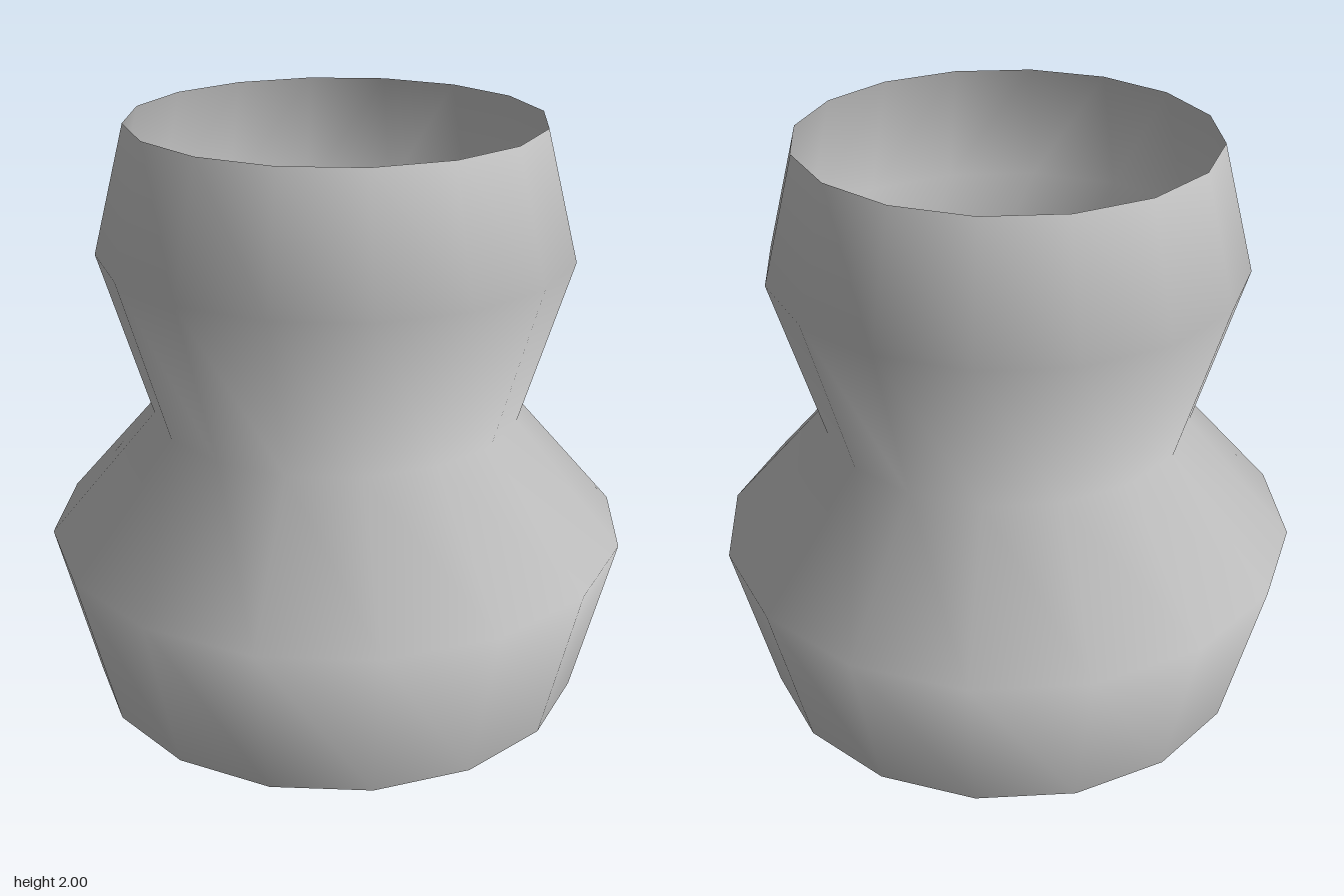
import * as THREE from 'three';

export function createModel() {
  const group = new THREE.Group();
  group.name = 'vase';

  const grey = new THREE.MeshStandardMaterial({ color: 0xcccccc, side: THREE.DoubleSide });
  grey.name = 'light grey';

  // Open tube: [radius, height] from the foot, over the belly and waist, to the rim
  const profile = [[0.86, 0], [1, 0.57], [0.63, 1], [0.8, 1.57], [0.69, 2]]
    .map(([r, y]) => new THREE.Vector2(r, y));

  // Sixteen smooth-shaded sides, open at both ends
  const body = new THREE.Mesh(new THREE.LatheGeometry(profile, 16), grey);
  body.name = 'body';
  group.add(body);

  return group;
}
